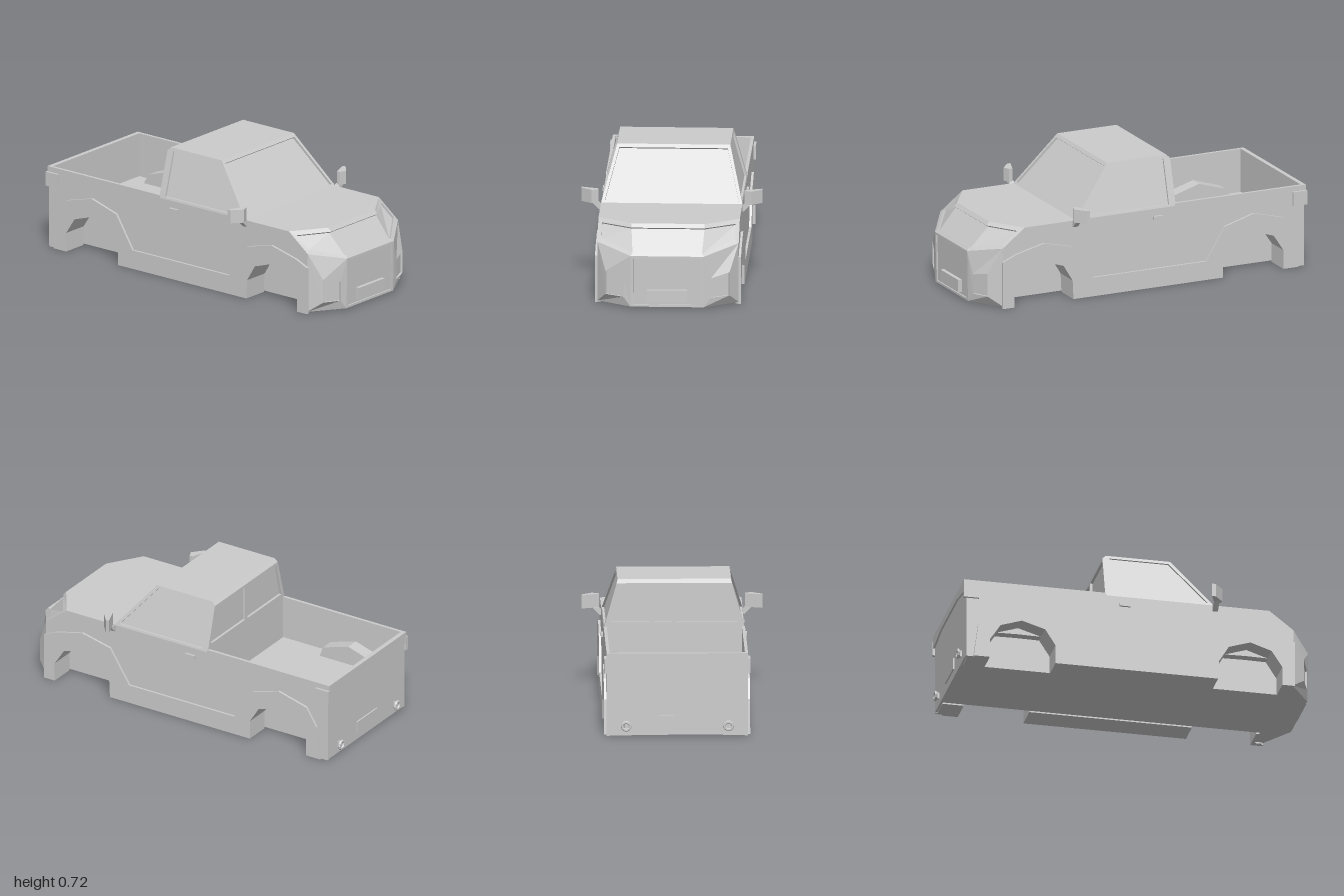
import * as THREE from 'three';

const mat = new THREE.MeshStandardMaterial({ color: 0xcccccc, flatShading: true, side: THREE.DoubleSide });

export function createModel() {
  const root = new THREE.Group();
  root.name = 'pickupBody';

  const add = (name, geo) => {
    const m = new THREE.Mesh(geo, mat);
    m.name = name;
    root.add(m);
    return m;
  };
  const box = (name, x0, x1, y0, y1, z0, z1) =>
    add(name, new THREE.BoxGeometry(x1 - x0, y1 - y0, z1 - z0)
      .translate((x0 + x1) / 2, (y0 + y1) / 2, (z0 + z1) / 2));
  const shapeOf = pts => new THREE.Shape(pts.map(p => new THREE.Vector2(...p)));
  const extrude = (pts, depth) => new THREE.ExtrudeGeometry(shapeOf(pts), { depth, bevelEnabled: false });
  // side profile given as (z, y), spanning x0 to x1
  const slab = (name, pts, x0, x1) =>
    add(name, extrude(pts, x1 - x0).rotateY(-Math.PI / 2).translate(x1, 0, 0));
  const slabPair = (name, pts, x0, x1) => {
    slab(name + 'Left', pts, x0, x1);
    slab(name + 'Right', pts, -x1, -x0);
  };
  // flat polygons, each split into a fan
  const faces = (name, polys) => {
    const v = [];
    for (const p of polys)
      for (let i = 1; i < p.length - 1; i++) v.push(...p[0], ...p[i], ...p[i + 1]);
    const g = new THREE.BufferGeometry();
    g.setAttribute('position', new THREE.Float32BufferAttribute(v, 3));
    g.computeVertexNormals();
    return add(name, g);
  };
  // frame, walls and sunken floor of a recessed panel
  const inset = (name, outer, inner, push) => {
    const n = outer.length, polys = [];
    const deep = inner.map(p => p.map((c, k) => c + push[k]));
    for (let i = 0; i < n; i++) {
      const j = (i + 1) % n;
      polys.push([outer[i], outer[j], inner[j], inner[i]], [inner[i], inner[j], deep[j], deep[i]]);
    }
    for (let i = 0; i + 1 <= n - 2 - i; i++)
      polys.push([deep[i], deep[i + 1], deep[n - 2 - i], deep[n - 1 - i]]);
    faces(name, polys.map(p => p.reverse()));
  };
  const flip = p => [-p[0], p[1], p[2]];
  // completes a +x half ring with its mirror image
  const both = half => [...half.map(flip), ...half.slice().reverse()];
  const insetPair = (name, outer, inner, push) => {
    inset(name + 'Left', outer, inner, push);
    inset(name + 'Right', outer.map(flip).reverse(), inner.map(flip).reverse(), flip(push));
  };

  // wheel openings along the lower edge, from rear to front
  const arches = [
    [-0.84, 0], [-0.84, 0.107], [-0.78, 0.198], [-0.66, 0.237], [-0.53, 0.198], [-0.472, 0.107], [-0.472, 0],
    [0.44, 0], [0.445, 0.107], [0.5, 0.198], [0.62, 0.237], [0.74, 0.198], [0.8, 0.107], [0.8, 0],
  ];
  const lowArches = arches.map(([z, y]) => [z, Math.min(y, 0.2)]);
  const bedFloor = 0.213;
  // humps of the rear wheel wells above the bed floor
  const hump = [[-0.48, bedFloor], [-0.5, 0.27], [-0.665, 0.32], [-0.825, 0.27], [-0.86, bedFloor]];
  const hoodLine = [[0.82, 0.3], [0.7, 0.42], [0.4, 0.435], [-0.175, 0.445], [-0.175, bedFloor]];

  // main body: centre, wheel-well blocks and outer side panels
  slab('bodyCore', [[-0.96, 0.008], [0.84, 0.008], ...hoodLine, [-0.96, bedFloor]], -0.25, 0.25);
  slabPair('wheelWellInner', [[-0.96, 0], ...lowArches, [0.82, 0], ...hoodLine, [-0.96, bedFloor]], 0.25, 0.3);
  slabPair('wheelWellOuter', [[-0.96, 0], ...arches, [0.82, 0], ...hoodLine, ...hump, [-0.96, bedFloor]], 0.3, 0.37);
  slabPair('bedHumpWall', hump, 0.292, 0.3);
  slabPair('sidePanel', [[-0.97, 0], ...arches, [0.86, 0], [0.865, 0.342], [0.73, 0.445], [-0.18, 0.445],
    [-0.19, 0.46], [-0.97, 0.46]], 0.37, 0.387);
  // arch trim and sill cladding
  slabPair('cladding', [[-0.93, 0], ...arches, [0.87, 0], [0.87, 0.265], [0.79, 0.3], [0.62, 0.342], [0.44, 0.3],
    [0.316, 0.107], [-0.37, 0.107], [-0.485, 0.29], [-0.66, 0.342], [-0.84, 0.294], [-0.905, 0.19]], 0.387, 0.4);

  // hood and nose
  const hoodSide = [0.387, 0.445, 0.73], hoodFront = [0.2, 0.445, 0.855];
  const noseSide = [0.387, 0.342, 0.865], noseFront = [0.2, 0.295, 0.99];
  const footSide = [0.387, 0.008, 0.86], footFront = [0.2, 0.008, 0.985];
  faces('hood', [both([[0.387, 0.445, 0.41], hoodSide, hoodFront]).reverse()]);
  faces('noseUnderside', [both([[0.387, 0.008, 0.81], footSide, footFront])]);
  const ring = (a, b, c, d) => [flip(a), flip(b), b, a, c, d, flip(d), flip(c)];
  inset('lampBand', ring(hoodSide, hoodFront, noseSide, noseFront),
    ring([0.365, 0.425, 0.769], [0.2, 0.425, 0.873], [0.365, 0.36, 0.853], [0.19, 0.31, 0.977]), [0, -0.008, -0.01]);
  inset('grille', both([noseFront, footFront]),
    both([[0.185, 0.28, 0.99], [0.185, 0.02, 0.985]]), [0, 0, -0.008]);
  insetPair('bumperCorner', [noseFront, noseSide, footSide, footFront],
    [[0.24, 0.17, 0.975], [0.34, 0.195, 0.935], [0.34, 0.065, 0.935], [0.24, 0.06, 0.975]], [-0.005, 0, -0.01]);
  box('frontPlate', -0.11, 0.11, 0.035, 0.105, 0.97, 1);

  // cab: points on the sloping side and windshield planes
  const sideX = y => 0.387 - 0.28 * (y - 0.445);
  const screenZ = y => 0.42 - 0.836 * (y - 0.445);
  const onSide = (y, z) => [sideX(y), y, z];
  const roofFront = onSide(0.72, 0.19), roofRear = onSide(0.72, -0.17), rearTop = onSide(0.7, -0.19);
  const rearBase = onSide(0.445, -0.19), frontBase = onSide(0.445, 0.42);
  faces('roof', [
    [flip(roofFront), roofFront, roofRear, flip(roofRear)],
    [flip(roofRear), roofRear, rearTop, flip(rearTop)],
  ]);
  inset('windshield', both([roofFront, frontBase]),
    both([[0.297, 0.703, screenZ(0.703)], [0.367, 0.457, screenZ(0.457)]]), [0, -0.008, -0.01]);
  insetPair('sideWindow', [frontBase, roofFront, roofRear, rearTop, rearBase],
    [onSide(0.457, 0.388), onSide(0.703, 0.18), onSide(0.703, -0.15), onSide(0.7, -0.15), onSide(0.457, -0.15)],
    [-0.012, 0, 0]);
  insetPair('rearWindow', [[0, 0.445, -0.19], rearBase, rearTop, [0, 0.7, -0.19]],
    [[0.013, 0.485, -0.19], [0.352, 0.485, -0.19], [0.303, 0.685, -0.19], [0.013, 0.685, -0.19]], [0, 0, 0.014]);
  box('bedFrontWall', -0.37, 0.37, 0.2, 0.45, -0.19, -0.17);

  // tailgate with overhanging lip
  box('tailgate', -0.385, 0.385, 0.005, 0.455, -0.972, -0.957);
  add('tailgateLip', extrude([[-0.387, 0.39], [-0.2, 0.42], [0.2, 0.42], [0.387, 0.39], [0.387, 0.46], [-0.387, 0.46]], 0.025)
    .translate(0, 0, -0.982));
  box('rearPlate', -0.1, 0.1, 0.05, 0.115, -0.98, -0.97);

  // mirrored small fittings
  for (const s of [1, -1]) {
    const side = s > 0 ? 'Left' : 'Right';
    const xBox = (name, x0, x1, ...r) => box(name + side, Math.min(s * x0, s * x1), Math.max(s * x0, s * x1), ...r);
    xBox('tailLamp', 0.38, 0.4, 0.35, 0.43, -0.985, -0.9);
    xBox('doorHandle', 0.38, 0.4, 0.385, 0.405, -0.11, -0.05);

    // towing eye
    add('towEye' + side, new THREE.TorusGeometry(0.022, 0.008, 6, 10).translate(s * 0.28, 0.057, -0.992));
    box('towMount' + side, s * 0.28 - 0.008, s * 0.28 + 0.008, 0.04, 0.075, -0.99, -0.97);

    // mirror head from its plan outline, and a slanted stalk
    const plan = [[0.495, 0.385], [0.4, 0.42], [0.4, 0.44], [0.437, 0.455], [0.495, 0.405]];
    add('mirror' + side, extrude(plan.map(([x, z]) => [s * x, -z]), 0.075)
      .rotateX(-Math.PI / 2).translate(0, 0.45, 0));
    const stalk = [[0.385, 0.41], [0.395, 0.41], [0.437, 0.452], [0.402, 0.452], [0.385, 0.435]];
    add('mirrorStalk' + side, extrude(stalk.map(([x, y]) => [s * x, y]), 0.03).translate(0, 0, 0.41));
  }
  return root;
}
